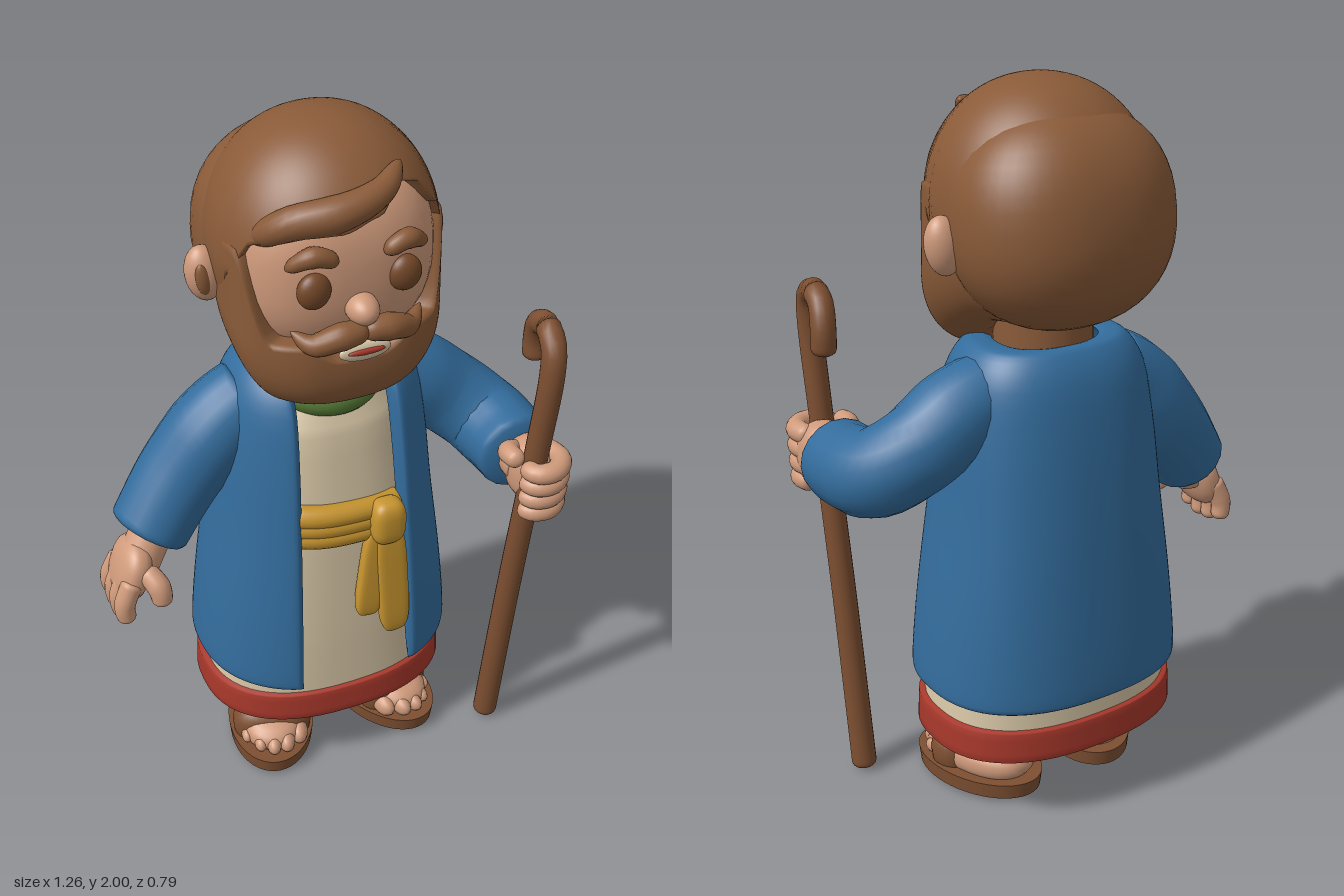
import * as THREE from 'three';
import { mergeVertices } from 'three/addons/utils/BufferGeometryUtils.js';
import { ParametricGeometry } from 'three/addons/geometries/ParametricGeometry.js';

const mat = (name, color) => new THREE.MeshStandardMaterial({ name, color });
const M = {
  skin: mat('skin', 0xcf9a7b), hair: mat('hair brown', 0x895a38), wood: mat('wood and leather brown', 0x7d4f31),
  blue: mat('coat blue', 0x336c9c), cream: mat('robe cream', 0xd6c5a5), red: mat('hem red', 0xa8382b),
  gold: mat('sash gold', 0xc6942f), green: mat('collar green', 0x567a36), eye: mat('eye brown', 0x754829),
};
M.hair.side = THREE.DoubleSide; // the cap and beard are open shells
const V = (p) => new THREE.Vector3(...p);
const { lerp, smoothstep, clamp } = THREE.MathUtils;
const pw = (x, e) => Math.sign(x) * Math.abs(x) ** e;

// smooth surface from a rule f(u, v) -> [x, y, z]; u runs round, v runs up
function surf(f, nu, nv) {
  const g = new ParametricGeometry((u, v, t) => t.set(...f(u, v)), nu, nv);
  g.deleteAttribute('normal');
  g.deleteAttribute('uv');
  const m = mergeVertices(g, 1e-5);
  m.computeVertexNormals();
  return m;
}

function add(group, name, geo, material, pos = [0, 0, 0], rot = [0, 0, 0], scale = [1, 1, 1]) {
  const mesh = new THREE.Mesh(geo, material);
  mesh.name = name;
  mesh.position.set(...pos);
  mesh.rotation.set(...rot);
  mesh.scale.set(...scale);
  group.add(mesh);
}

// superellipsoid: n = 2 is an ellipsoid, higher is boxier
function blob([rx, ry, rz], n = 2, seg = 32) {
  const e = 2 / n;
  return surf((u, v) => {
    const a = u * Math.PI * 2, b = (v - 0.5) * Math.PI, c = pw(Math.cos(b), e);
    return [rx * c * pw(Math.sin(a), e), ry * pw(Math.sin(b), e), rz * c * pw(Math.cos(a), e)];
  }, seg, seg / 2);
}

// tube along points with radii interpolated along it and rounded ends
function sweep(points, radii, end = 0.1, rows = 28, sides = 18) {
  const curve = new THREE.CatmullRomCurve3(points.map(V));
  const chord = V(points.at(-1)).sub(V(points[0])).toArray().map(Math.abs);
  const ref = new THREE.Vector3().setComponent(chord.indexOf(Math.min(...chord)), 1);
  return surf((u, v) => {
    const t = 0.5 - 0.5 * Math.cos(Math.PI * v);
    const k = t * (radii.length - 1), i = Math.min(Math.floor(k), radii.length - 2);
    const d = 1 - Math.min(1, Math.min(t, 1 - t) / end);
    const r = lerp(radii[i], radii[i + 1], k - i) * Math.sqrt(Math.max(0, 1 - d * d));
    const T = curve.getTangentAt(t), N = T.clone().cross(ref).normalize(), B = T.clone().cross(N);
    const a = u * Math.PI * 2;
    return curve.getPointAt(t).addScaledVector(N, r * Math.cos(a)).addScaledVector(B, r * Math.sin(a)).toArray();
  }, sides, rows);
}

// garment of oval sections [rx, rz, y] centred on z = -0.07
const CZ = -0.07, N = 2.4;
const oval = (a, rx, rz, y) => [rx * pw(Math.sin(a), 2 / N), y, CZ + rz * pw(Math.cos(a), 2 / N)];
function skirt(rings) {
  return surf((u, v) => {
    const k = v * (rings.length - 1), i = Math.min(Math.floor(k + 1e-6), rings.length - 2), f = k - i;
    return oval(u * Math.PI * 2, ...rings[i].map((q, j) => lerp(q, rings[i + 1][j], f)));
  }, 56, (rings.length - 1) * 4);
}

// thick open coat, fuller in front: v runs round the cloth thickness, u from one front edge to the other
function coat() {
  const prof = new THREE.CatmullRomCurve3([[0.368, 0.288, 0.362], [0.335, 0.267, 0.62], [0.297, 0.243, 0.88],
    [0.272, 0.216, 1.1], [0.243, 0.185, 1.25], [0.195, 0.145, 1.318], [0.15, 0.12, 1.325]].map(V));
  return surf((u, v) => {
    const p = v * Math.PI * 2, c = prof.getPoint(0.5 - 0.5 * Math.cos(p));
    const edge = Math.sqrt(Math.max(0, 1 - Math.abs(2 * u - 1) ** 40));
    const off = 0.02 * pw(Math.sin(p), 0.4) * edge;
    const half = lerp(0.165, 0.132, clamp((c.z - 0.37) / 0.9, 0, 1));
    const a0 = Math.asin(Math.min(0.9, half / c.x) ** (N / 2));
    const w = 0.5 - 0.5 * Math.cos(Math.PI * u);
    const a = lerp(a0, Math.PI * 2 - a0, lerp(u, w, 0.7));
    return oval(a, c.x + off, (c.y + off) * (1 + 0.1 * Math.max(0, Math.cos(a))), c.z + off * 0.3);
  }, 90, 64);
}

// hair cap whose lower edge [degrees from front, height] forms the fringe
const EDGE = [[-180, 1.42], [-100, 1.45], [-84, 1.53], [-73, 1.66], [-57, 1.765], [-42, 1.795], [-12, 1.805], [8, 1.83],
  [26, 1.885], [42, 1.865], [58, 1.78], [73, 1.66], [84, 1.53], [100, 1.45], [180, 1.42]];
function hairCap() {
  const cy = 1.68, R = [0.298, 0.32, 0.3];
  return surf((u, v) => {
    const deg = u * 360 - 180, a = deg * Math.PI / 180;
    const i = clamp(EDGE.findIndex((e) => e[0] >= deg), 1, EDGE.length - 1);
    const [d0, y0] = EDGE[i - 1], [d1, y1] = EDGE[i];
    const low = Math.asin((lerp(y0, y1, smoothstep(deg, d0, d1)) - cy) / R[1]);
    const lip = v < 0.12 ? 0.72 + 0.28 * Math.sqrt(v / 0.12) : 1;
    const b = lerp(low, Math.PI / 2, Math.max(0, (v - 0.12) / 0.88)), h = pw(Math.cos(b), 0.95) * lip;
    return [R[0] * h * pw(Math.sin(a), 0.96), cy + R[1] * Math.sin(b), -0.045 + R[2] * h * pw(Math.cos(a), 0.96)];
  }, 96, 34);
}

// beard wrapping the jaw, rising into sideburns
function beard() {
  return surf((u, v) => {
    const a = (u - 0.5) * 4.4, m = Math.abs(a);
    const top = 1.455 + 0.05 * smoothstep(m, 0.15, 0.5) + 0.24 * smoothstep(m, 0.82, 1.32);
    const bot = 1.275 + 0.1 * smoothstep(m, 1, 2);
    const w = Math.min(1, v / 0.9), y = lerp(bot, top, w * w * 0.5 + w * 0.5);
    const t = Math.min(1, (y - bot) / 0.21), s = Math.sqrt(Math.sqrt(Math.max(0, 1 - (1 - t) ** 2)));
    const lip = v > 0.9 ? 1 - 2.5 * (v - 0.9) : 1;
    return [0.287 * s * lip * pw(Math.sin(a), 0.85), y, lerp(0.272, 0.228, w) * s * lip * pw(Math.cos(a), 0.85)];
  }, 72, 36);
}

export function createModel() {
  const root = new THREE.Group();
  root.name = 'bearded shepherd';
  const part = (name) => {
    const g = new THREE.Group();
    g.name = name;
    root.add(g);
    return g;
  };

  // head
  const head = part('head');
  head.position.x = 0.02;
  add(head, 'face', blob([0.266, 0.255, 0.21], 2.4, 48), M.skin, [0, 1.655, 0]);
  add(head, 'hairCap', hairCap(), M.hair);
  add(head, 'fringe', sweep([[-0.235, 1.76, 0.08], [-0.16, 1.825, 0.16], [-0.05, 1.85, 0.2], [0.06, 1.88, 0.185], [0.13, 1.92, 0.13]],
    [0.03, 0.042, 0.046, 0.036, 0.02], 0.15), M.hair);
  add(head, 'backHair', blob([0.302, 0.285, 0.243], 2.25, 48), M.hair, [0.005, 1.655, -0.147], [0.12, 0, 0]);
  add(head, 'beard', beard(), M.hair);
  add(head, 'neck', new THREE.CylinderGeometry(0.13, 0.135, 0.3, 32), M.hair, [0, 1.33, -0.06]);
  add(head, 'nose', blob([0.042, 0.04, 0.055]), M.skin, [0, 1.59, 0.215]);
  add(head, 'teeth', blob([0.07, 0.027, 0.015]), M.cream, [0, 1.482, 0.238]);
  add(head, 'lips', blob([0.05, 0.009, 0.008]), M.red, [0, 1.486, 0.25]);
  for (const s of [-1, 1]) {
    add(head, 'eye', blob([0.044, 0.048, 0.03]), M.eye, [s * 0.12, 1.655, 0.2]);
    add(head, 'eyebrow', sweep([[s * 0.06, 1.725, 0.208], [s * 0.12, 1.75, 0.205], [s * 0.185, 1.715, 0.175]], [0.02, 0.027, 0.015], 0.2), M.hair);
    add(head, 'moustache', sweep([[-s * 0.01, 1.54, 0.235], [s * 0.07, 1.535, 0.238], [s * 0.13, 1.515, 0.215], [s * 0.175, 1.545, 0.18]],
      [0.028, 0.036, 0.03, 0.008], 0.15), M.hair);
    add(head, 'ear', blob([0.05, 0.078, 0.045]), M.skin, [s * 0.305, 1.605, -0.07], [0, 0, -s * 0.15]);
    add(head, 'innerEar', blob([0.02, 0.045, 0.016]), M.hair, [s * 0.318, 1.605, -0.038], [0, 0, -s * 0.15]);
  }

  // clothes
  const body = part('clothes');
  body.position.x = 0.02;
  add(body, 'robe', skirt([[0.352, 0.262, 0.29], [0.325, 0.255, 0.5], [0.268, 0.235, 0.88], [0.22, 0.195, 1.15], [0.15, 0.15, 1.25], [0, 0, 1.27]]), M.cream);
  add(body, 'hem', skirt([[0, 0, 0.23], [0.345, 0.25, 0.205], [0.372, 0.28, 0.21], [0.368, 0.276, 0.295], [0.35, 0.26, 0.3]]), M.red);
  add(body, 'collar', new THREE.TorusGeometry(0.12, 0.034, 14, 40), M.green, [0, 1.258, -0.04], [Math.PI / 2 + 0.12, 0, 0], [1.05, 1.1, 1.25]);
  add(body, 'coat', coat(), M.blue);
  const arc = (y) => [-0.55, -0.35, -0.15, 0.15, 0.35, 0.55].map((a) => oval(a, 0.262, 0.24, y - 0.02 * Math.sin(a)));
  [0.85, 0.885, 0.92].forEach((y) => add(body, 'sashBand', sweep(arc(y), [0.034, 0.031], 0.04), M.gold));
  add(body, 'sashKnot', blob([0.05, 0.07, 0.042], 3), M.gold, [0.095, 0.885, 0.198]);
  add(body, 'sashTail', blob([0.042, 0.15, 0.02], 4), M.gold, [0.058, 0.71, 0.195], [-0.04, 0, -0.13]);
  add(body, 'sashTail', blob([0.046, 0.19, 0.022], 4), M.gold, [0.112, 0.675, 0.205], [-0.04, 0, 0.06]);

  // lowered right arm
  const rightArm = part('rightArm');
  add(rightArm, 'sleeve', sweep([[-0.16, 1.21, -0.08], [-0.25, 1.15, -0.08], [-0.375, 1.0, -0.085], [-0.493, 0.838, -0.06]], [0.11, 0.122, 0.118, 0.112], 0.04), M.blue);
  add(rightArm, 'wrist', sweep([[-0.47, 0.87, -0.05], [-0.535, 0.77, -0.025]], [0.06, 0.062]), M.skin);
  add(rightArm, 'palm', blob([0.047, 0.09, 0.088], 2.4), M.skin, [-0.555, 0.765, -0.025], [0, 0, -0.35]);
  for (let i = 0; i < 4; i++) {
    const z = -0.095 + i * 0.046, tip = 0.615 + 0.014 * Math.abs(i - 1.6);
    add(rightArm, 'finger', sweep([[-0.565, 0.77, z * 0.9], [-0.597, 0.69, z], [-0.592, tip, z]], [0.03, 0.03, 0.026], 0.13), M.skin);
  }
  add(rightArm, 'thumb', sweep([[-0.53, 0.79, 0.03], [-0.505, 0.75, 0.075], [-0.5, 0.695, 0.085]], [0.03, 0.033, 0.027], 0.18), M.skin);

  // bent left arm
  const leftArm = part('leftArm');
  add(leftArm, 'sleeve', sweep([[0.18, 1.21, -0.08], [0.29, 1.165, -0.075], [0.41, 1.075, -0.055], [0.492, 1.01, 0.01], [0.512, 0.995, 0.1], [0.512, 0.995, 0.205]],
    [0.11, 0.123, 0.12, 0.12, 0.112], 0.035, 36), M.blue);
  add(leftArm, 'wrist', sweep([[0.512, 0.995, 0.14], [0.515, 0.985, 0.25]], [0.062, 0.065]), M.skin);
  add(leftArm, 'palm', blob([0.07, 0.095, 0.075], 2.4), M.skin, [0.525, 0.985, 0.25]);
  for (let i = 0; i < 4; i++) {
    const y = 0.91 + i * 0.045, z = i * 0.004;
    add(leftArm, 'finger', sweep([[0.56, y, 0.25], [0.568, y, 0.31 + z], [0.53, y, 0.35 + z], [0.48, y, 0.346 + z], [0.46, y, 0.31]],
      [0.028, 0.03, 0.029, 0.025], 0.1), M.skin);
  }
  add(leftArm, 'thumb', sweep([[0.49, 1.03, 0.22], [0.448, 1.055, 0.25], [0.45, 1.06, 0.31]], [0.03, 0.03, 0.025], 0.18), M.skin);

  // hooked staff
  add(root, 'staff', sweep([[0.475, 0.003, 0.197], [0.488, 0.6, 0.255], [0.502, 1.1, 0.308], [0.508, 1.34, 0.33], [0.513, 1.415, 0.315],
    [0.522, 1.442, 0.265], [0.533, 1.42, 0.205], [0.543, 1.36, 0.178], [0.545, 1.29, 0.178]], [0.036, 0.033, 0.034], 0.012, 70), M.wood);

  // sandalled feet
  for (const s of [-1, 1]) {
    const foot = part(s > 0 ? 'leftFoot' : 'rightFoot');
    foot.position.set(0.02 + s * 0.185, 0, 0);
    foot.rotation.y = s * 0.3;
    add(foot, 'sole', new THREE.CylinderGeometry(1, 0.97, 1, 48), M.wood, [0, 0.034, -0.005], [0, 0, 0], [0.13, 0.045, 0.208]);
    add(foot, 'instep', blob([0.104, 0.062, 0.175], 2.3), M.skin, [0, 0.085, -0.01]);
    add(foot, 'ankle', new THREE.CylinderGeometry(0.082, 0.09, 0.2, 28), M.skin, [0, 0.17, -0.07]);
    for (let i = 0; i < 5; i++) {
      const q = (i - 2) * s, size = 0.034 - i * 0.003;
      add(foot, 'toe', blob([size * 0.8, size, size * 1.3], 2, 16), M.skin, [q * 0.039, 0.08, 0.15 - 0.012 * q * q]);
    }
    add(foot, 'instepStrap', blob([0.118, 0.085, 0.075], 2.4), M.wood, [0, 0.085, 0.045], [0.1, 0, 0]);
    add(foot, 'ankleStrap', new THREE.TorusGeometry(0.088, 0.013, 12, 28, Math.PI), M.wood, [0, 0.165, -0.07], [Math.PI / 2 + 0.1, 0, 0], [1, 1, 2]);
  }
  return root;
}
